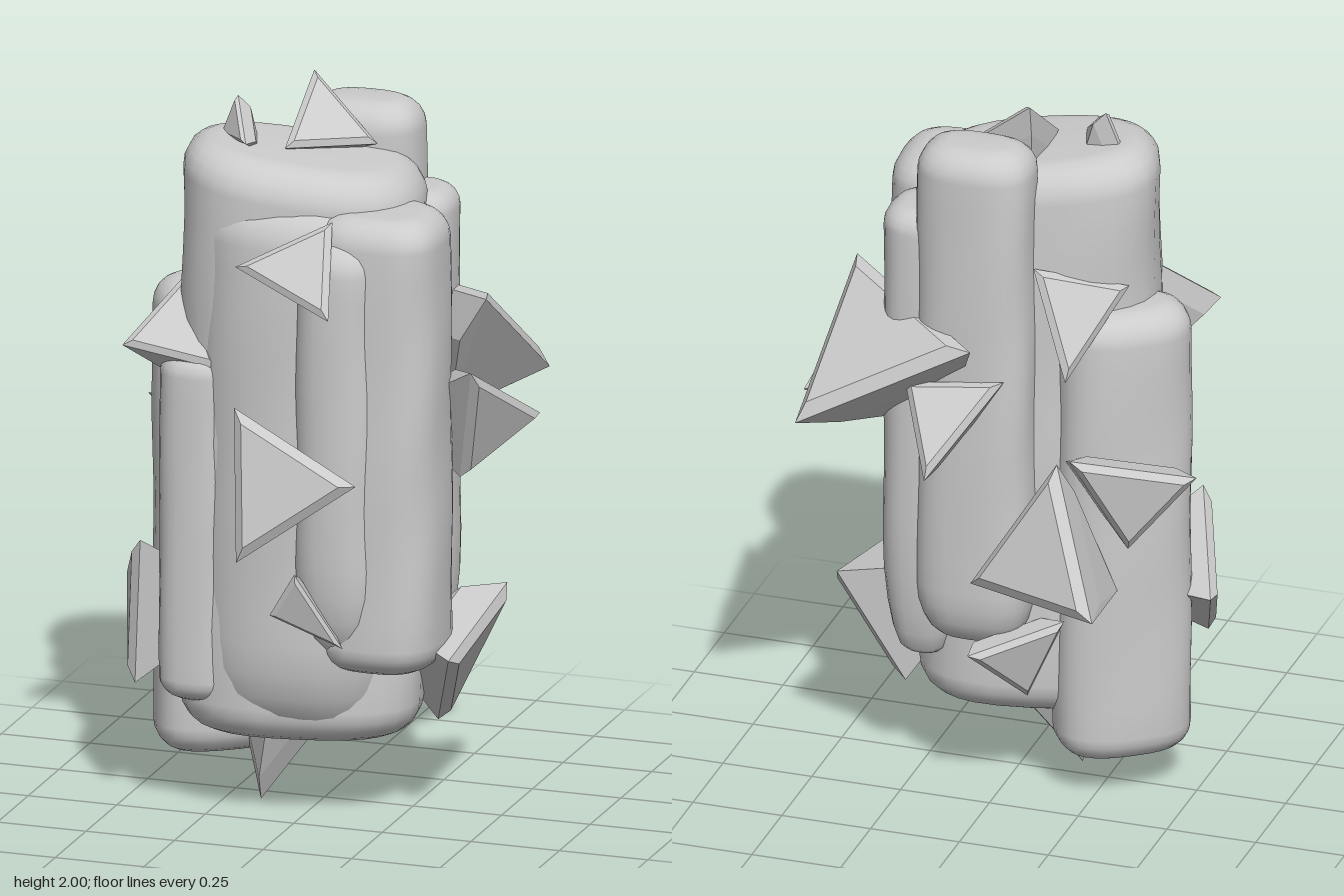
import * as THREE from 'three';
import { ConvexGeometry } from 'three/addons/geometries/ConvexGeometry.js';

const material = new THREE.MeshStandardMaterial({ color: 0xcccccc });
const flatMaterial = new THREE.MeshStandardMaterial({ color: 0xcccccc, flatShading: true });

// Softly uneven stone column; slope tilts the top along x, foot is the height of the lower rounding
function columnGeometry({ x, z, rx, rz, y0, y1, turn = 0, slope = 0, round = 0.08, foot = round, power = 0.78, seed = 0 }) {
  const sides = 28, bands = 14, corner = 5;
  const profile = []; // [height, inset]
  for (let i = 0; i <= corner; i++) {
    const a = (i / corner) * Math.PI / 2;
    profile.push([y0 + foot * (1 - Math.cos(a)), round * (1 - Math.sin(a))]);
  }
  for (let i = 1; i < bands; i++) profile.push([y0 + foot + (y1 - y0 - foot - round) * i / bands, 0]);
  for (let i = 0; i <= corner; i++) {
    const a = (i / corner) * Math.PI / 2;
    profile.push([y1 - round * (1 - Math.sin(a)), round * (1 - Math.cos(a))]);
  }
  const pos = [], index = [];
  const signed = (v) => Math.sign(v) * Math.abs(v) ** power;
  profile.forEach(([y, inset]) => {
    for (let i = 0; i < sides; i++) {
      const t = (i / sides) * Math.PI * 2;
      const bump = 1 + 0.025 * Math.sin(3 * t + y * 5 + seed) * Math.sin(y * 7 + seed * 2);
      const px = signed(Math.cos(t)) * (rx - inset) * bump;
      const pz = signed(Math.sin(t)) * (rz - inset) * bump;
      const wx = px * Math.cos(turn) + pz * Math.sin(turn);
      const wz = pz * Math.cos(turn) - px * Math.sin(turn);
      pos.push(x + wx, y + slope * wx * (y - y0) / (y1 - y0), z + wz);
    }
  });
  for (let j = 0; j < profile.length - 1; j++) {
    for (let i = 0; i < sides; i++) {
      const a = j * sides + i, b = j * sides + (i + 1) % sides;
      index.push(a, a + sides, b, b, a + sides, b + sides);
    }
  }
  // end caps
  const bottom = pos.length / 3, top = bottom + 1, last = (profile.length - 1) * sides;
  pos.push(x, y0, z, x, y1, z);
  for (let i = 0; i < sides; i++) {
    const n = (i + 1) % sides;
    index.push(bottom, i, n, top, last + n, last + i);
  }
  const geometry = new THREE.BufferGeometry();
  geometry.setAttribute('position', new THREE.Float32BufferAttribute(pos, 3));
  geometry.setIndex(index);
  geometry.computeVertexNormals();
  return geometry;
}

// Thick bevelled three-cornered shard whose hidden root is buried in the columns
function shardGeometry(corners, root) {
  const rim = corners.map((c) => new THREE.Vector3(...c));
  const centre = new THREE.Vector3().add(rim[0]).add(rim[1]).add(rim[2]).divideScalar(3);
  const inner = root ? new THREE.Vector3(...root)
    : new THREE.Vector3(centre.x * 0.4, centre.y, centre.z * 0.4);
  const out = new THREE.Triangle(...rim).getNormal(new THREE.Vector3());
  if (out.dot(inner.clone().sub(centre)) > 0) out.negate();
  const size = rim[0].distanceTo(rim[1]);
  const layer = (shrink, shift) => rim.map((c) => c.clone().lerp(centre, shrink).addScaledVector(out, size * shift));
  return new ConvexGeometry([...rim, ...layer(0.2, 0.05), ...layer(0.3, -0.22), inner]);
}

const columns = {
  mainColumn: { x: -0.035, z: 0.06, rx: 0.325, rz: 0.235, y0: 0.22, y1: 1.83, turn: 0.2, slope: -0.13, round: 0.1, seed: 1 },
  frontBulge: { x: -0.03, z: 0.14, rx: 0.27, rz: 0.2, y0: 0.26, y1: 1.74, round: 0.12, foot: 0.25, power: 0.9, seed: 2 },
  backColumn: { x: 0.06, z: -0.17, rx: 0.16, rz: 0.12, y0: 0.46, y1: 1.92, round: 0.08, foot: 0.16, seed: 3 },
  leftFrontColumn: { x: 0.23, z: 0.18, rx: 0.172, rz: 0.165, y0: 0.45, y1: 1.72, round: 0.08, power: 0.7, seed: 4 },
  leftFrontBulge: { x: 0.14, z: 0.24, rx: 0.13, rz: 0.142, y0: 0.5, y1: 1.66, round: 0.09, foot: 0.25, power: 0.85, seed: 2 },
  leftBackColumn: { x: 0.22, z: -0.12, rx: 0.11, rz: 0.12, y0: 0.38, y1: 1.7, round: 0.06, foot: 0.35, seed: 5 },
  rightColumn: { x: -0.3, z: -0.025, rx: 0.185, rz: 0.125, y0: 0.11, y1: 1.43, turn: 0.62, round: 0.08, seed: 6 },
  rightFrontColumn: { x: -0.28, z: 0.19, rx: 0.105, rz: 0.125, y0: 0.32, y1: 1.29, round: 0.06, seed: 7 },
};

// Three outer corners of each shard, with an optional fourth point as its root
const shards = {
  frontMiddleShard: [[-0.11, 1.2, 0.42], [0.23, 1.01, 0.41], [-0.08, 0.79, 0.49]],
  frontUpperShard: [[-0.11, 1.59, 0.41], [0.13, 1.71, 0.31], [0.17, 1.48, 0.46]],
  frontLowerShard: [[0.06, 0.75, 0.42], [-0.02, 0.62, 0.39], [0.18, 0.54, 0.37]],
  rightUpperShard: [[-0.46, 1.31, 0.32], [-0.2, 1.26, 0.29], [-0.34, 1.47, 0.15], [-0.3, 1.15, 0.15]],
  rightLowerShard: [[-0.42, 0.76, 0.29], [-0.445, 0.35, 0.26], [-0.545, 0.58, -0.02]],
  rightMiddleShard: [[-0.56, 1.02, -0.18], [-0.245, 1.08, -0.31], [-0.38, 0.8, -0.22]],
  backLargeShard: [[-0.37, 0.7, -0.49], [-0.2, 1.05, -0.28], [0.03, 0.68, -0.32], [-0.33, 0.64, -0.16]],
  backLowerShard: [[0.02, 0.49, -0.375], [-0.19, 0.54, -0.19], [-0.09, 0.31, -0.2]],
  backMiddleShard: [[0.11, 1.04, -0.47], [-0.05, 1.27, -0.28], [0.22, 1.24, -0.3]],
  backUpperShard: [[-0.22, 1.29, -0.27], [-0.33, 1.5, -0.06], [-0.1, 1.57, -0.18]],
  leftLargeShard: [[0.49, 1.13, -0.42], [0.46, 1.44, 0.01], [0.02, 1.38, -0.35], [0.3, 1.06, -0.15]],
  leftMiddleShard: [[0.56, 1.09, -0.14], [0.48, 1.29, 0.195], [0.4, 0.95, 0.05]],
  leftLowerShard: [[0.44, 0.5, 0.26], [0.45, 0.59, -0.19], [0.3, 0.23, -0.06]],
  bottomShard: [[-0.155, 0, 0.07], [-0.25, 0.26, -0.02], [0.02, 0.25, -0.02], [-0.09, 0.32, 0.18]],
  topShard: [[-0.06, 2, -0.09], [0.14, 1.83, -0.03], [-0.07, 1.84, 0.12], [-0.06, 1.76, -0.08]],
  topSmallShard: [[-0.23, 1.95, 0.04], [-0.16, 1.86, 0.18], [-0.27, 1.84, 0.05], [-0.16, 1.8, 0.05]],
};

export function createModel() {
  const model = new THREE.Group();
  model.name = 'rockPillar';
  const add = (name, geometry, mat) => {
    const mesh = new THREE.Mesh(geometry, mat);
    mesh.name = name;
    model.add(mesh);
  };
  for (const [name, spec] of Object.entries(columns)) add(name, columnGeometry(spec), material);
  for (const [name, [a, b, c, root]] of Object.entries(shards)) add(name, shardGeometry([a, b, c], root), flatMaterial);
  return model;
}
